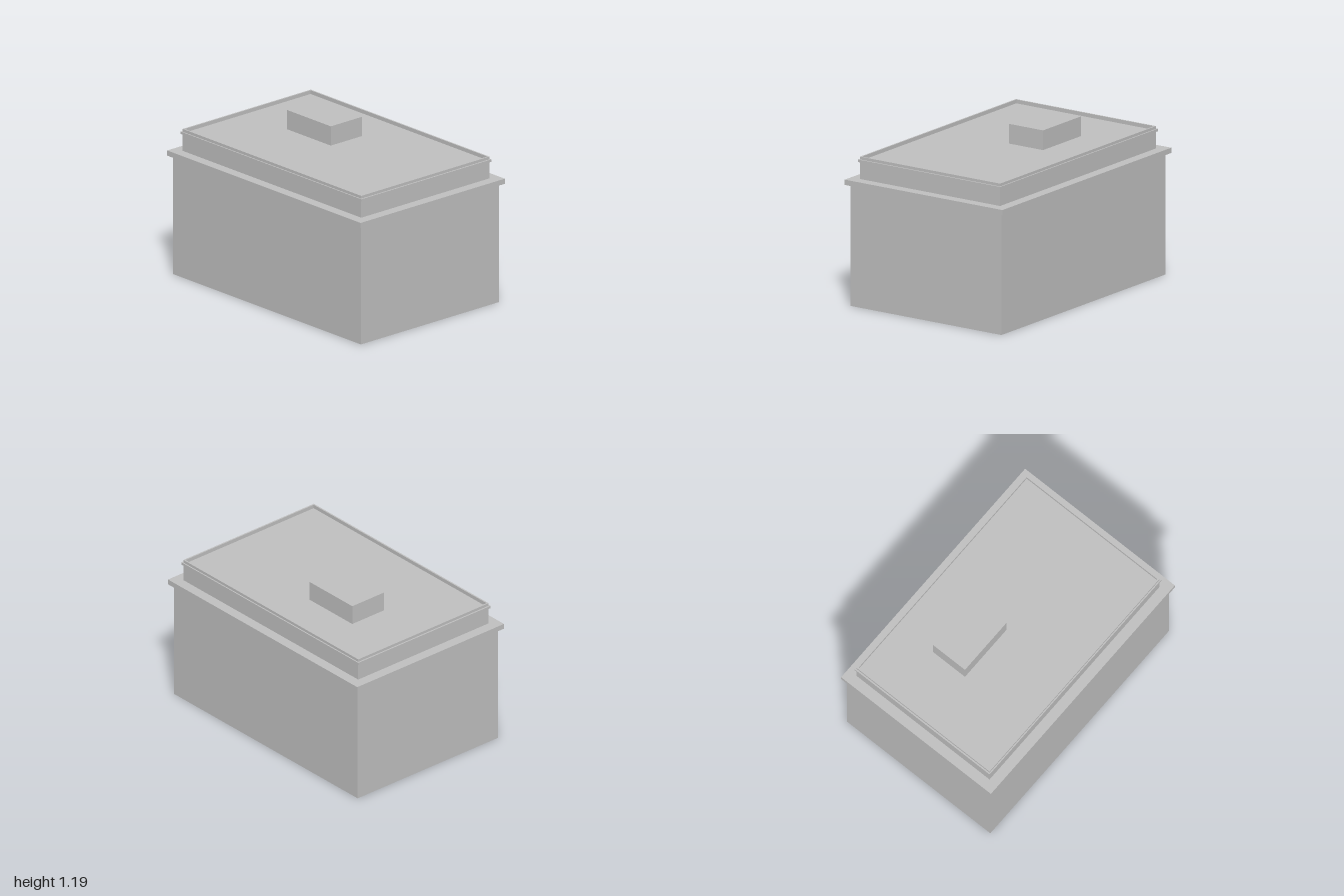
import * as THREE from 'three';

export function createModel() {
  const model = new THREE.Group();
  model.name = 'building';
  const grey = new THREE.MeshStandardMaterial({ name: 'plain grey', color: 0xc0c0c0 });
  const greyThin = new THREE.MeshStandardMaterial({ name: 'plain grey open wall', color: 0xc0c0c0, side: THREE.DoubleSide });

  const add = (name, geometry, material = grey) => {
    const mesh = new THREE.Mesh(geometry, material);
    mesh.name = name;
    model.add(mesh);
    return mesh;
  };

  // solid block between two corners
  const block = (name, x0, x1, y0, y1, z0, z1) =>
    add(name, new THREE.BoxGeometry(x1 - x0, y1 - y0, z1 - z0))
      .position.set((x0 + x1) / 2, (y0 + y1) / 2, (z0 + z1) / 2);

  // rectangular ring given by outer and inner half sizes
  const rectangle = (path, x, z) => {
    path.moveTo(-x, -z).lineTo(x, -z).lineTo(x, z).lineTo(-x, z).closePath();
    return path;
  };
  const frame = (name, x, z, innerX, innerZ, y0, y1) => {
    const shape = rectangle(new THREE.Shape(), x, z);
    shape.holes.push(rectangle(new THREE.Path(), innerX, innerZ));
    const geometry = new THREE.ExtrudeGeometry(shape, { depth: y1 - y0, bevelEnabled: false });
    geometry.rotateX(-Math.PI / 2).translate(0, y0, 0);
    add(name, geometry);
  };

  // thin outer walls, open at the bottom
  const wallX = 0.971, wallZ = 0.646, wallTop = 0.873;
  for (let i = 0; i < 4; i++) {
    const alongX = i % 2 === 0;
    const geometry = new THREE.PlaneGeometry(2 * (alongX ? wallX : wallZ), wallTop);
    geometry.translate(0, wallTop / 2, alongX ? wallZ : wallX).rotateY(i * Math.PI / 2);
    add(['frontWall', 'leftWall', 'backWall', 'rightWall'][i], geometry, greyThin);
  }

  // projecting ledge and the deck that closes the walls
  frame('ledge', 1, 0.675, wallX, wallZ, wallTop, 0.911);
  block('deck', -wallX, wallX, 0.89, 0.911, -wallZ, wallZ);

  // upper storey, with a recessed roof behind a low parapet
  block('upperStorey', -0.924, 0.924, 0.911, 1.045, -0.6, 0.6);
  frame('parapet', 0.924, 0.6, 0.913, 0.589, 1.045, 1.072);
  frame('corniceBand', 0.935, 0.609, 0.922, 0.598, 1.034, 1.052);

  // rooftop plant room
  block('rooftopUnit', -0.487, -0.036, 1.045, 1.187, -0.274, 0.016);

  return model;
}
